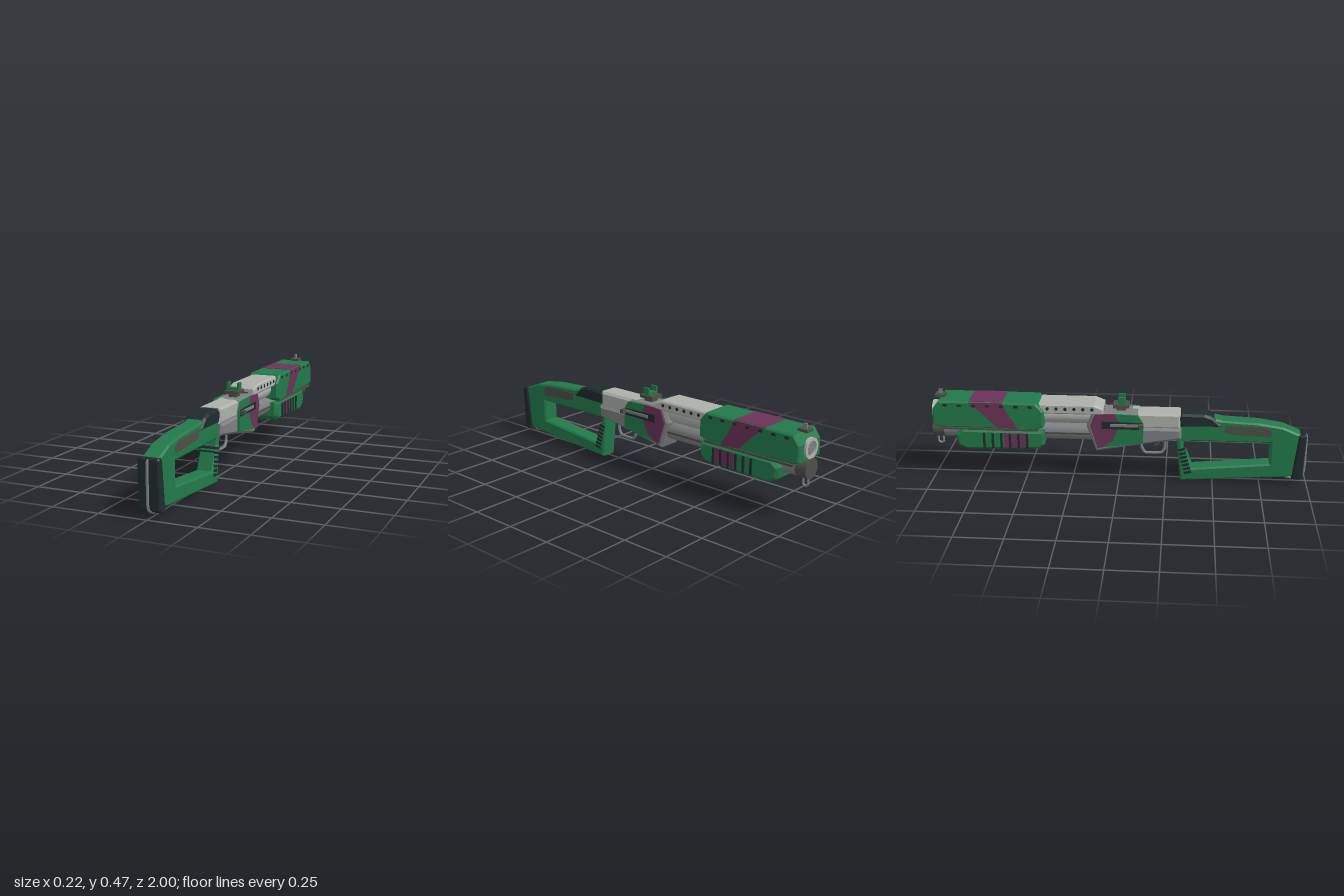
import * as THREE from 'three';

const mat = (name, color) => Object.assign(new THREE.MeshStandardMaterial({ color }), { name });

export function createModel() {
  const model = new THREE.Group();
  const green = mat('green', 0x22794a), purple = mat('purple', 0x6b3358);
  const light = mat('light grey', 0xadb0ab), grey = mat('grey', 0x7c8080);
  const black = mat('black', 0x202b2d), dark = mat('dark metal', 0x4d4f48);

  const add = (name, geo, m) => {
    const mesh = new THREE.Mesh(geo, m);
    mesh.name = name;
    model.add(mesh);
    return mesh;
  };
  const toPts = (a) => a.map(([z, y]) => new THREE.Vector2(z, y));

  // Side profile of [z, y] points, extruded across x with a chamfer inside the outline
  const profile = (name, pts, half, m, bevel = 0.01, hole = null, x = 0) => {
    const s = new THREE.Shape(toPts(pts));
    if (hole) s.holes.push(new THREE.Path(toPts(hole)));
    const depth = 2 * (half - bevel);
    const g = new THREE.ExtrudeGeometry(s, {
      depth, bevelEnabled: bevel > 0, bevelSize: bevel, bevelThickness: bevel, bevelOffset: -bevel, bevelSegments: 1,
    });
    g.translate(0, 0, -depth / 2).rotateY(-Math.PI / 2);
    return add(name, g, m).translateX(x);
  };
  // Thin plate on both flanks
  const plates = (name, pts, x, m, half = 0.003) => {
    for (const s of [1, -1]) profile(name, pts, half, m, 0, null, s * x);
  };
  // Box from its centre and size
  const box = (name, [x, y, z], [w, h, d], m, rx = 0) => {
    const b = add(name, new THREE.BoxGeometry(w, h, d), m);
    b.position.set(x, y, z);
    b.rotation.x = rx;
    return b;
  };
  // Cylinder lying along z
  const rod = (name, r, y, z0, z1, m, sides = 32) => {
    const g = new THREE.CylinderGeometry(r, r, Math.abs(z1 - z0), sides).rotateX(Math.PI / 2);
    add(name, g, m).position.set(0, y, (z0 + z1) / 2);
  };
  // Bent wire through [z, y] points
  const wire = (name, pts, r, m) => {
    const path = new THREE.CatmullRomCurve3(pts.map(([z, y]) => new THREE.Vector3(0, y, z)), false, 'catmullrom', 0.2);
    add(name, new THREE.TubeGeometry(path, 40, r, 8), m);
  };

  // Skeleton stock with its grip
  profile('stock', [[0.955, 0.28], [0.86, 0.32], [0.73, 0.34], [0.54, 0.35], [0.48, 0.365], [0.36, 0.365], [0.32, 0.31],
    [0.305, 0.23], [0.33, 0], [0.88, 0.035], [0.955, 0.05]], 0.047, green, 0.009,
    [[0.8, 0.23], [0.8, 0.11], [0.39, 0.073], [0.34, 0.2], [0.335, 0.23]]);
  profile('cheekPad', [[0.55, 0.315], [0.53, 0.335], [0.49, 0.37], [0.45, 0.383], [0.33, 0.383], [0.31, 0.365], [0.325, 0.31]],
    0.055, black, 0.012);
  profile('buttPad', [[0.985, 0.275], [0.975, 0.285], [0.945, 0.278], [0.925, 0.09], [0.92, 0.03], [0.96, 0.026], [0.978, 0.04]],
    0.055, black, 0.008);
  wire('rearSlingLoop', [[0.975, 0.268], [0.99, 0.265], [0.99, 0.06], [0.975, 0.035], [0.93, 0.016], [0.86, 0.028]], 0.007, grey);
  plates('stockInset', [[0.8, 0.265], [0.8, 0.3], [0.77, 0.32], [0.56, 0.325], [0.555, 0.285], [0.6, 0.275]], 0.046, dark);
  for (let i = 0; i < 7; i++) {
    const t = i / 6;
    box('gripRib', [0, 0.05 + 0.13 * t, 0.368 - 0.036 * t], [0.097, 0.013, 0.04 - 0.006 * t], black, -0.25);
  }

  // Receiver
  profile('receiver', [[0.33, 0.305], [0.13, 0.305], [0.1, 0.385], [-0.14, 0.385], [-0.17, 0.31], [-0.12, 0.167],
    [0.17, 0.22], [0.33, 0.245]], 0.07, grey, 0.012);
  profile('receiverTail', [[0.325, 0.3], [0.07, 0.3], [0.07, 0.385], [0.325, 0.385]], 0.06, light, 0.012);
  const sidePanel = [[0.13, 0.335], [0.1, 0.38], [-0.02, 0.384], [0.005, 0.33], [-0.03, 0.235], [-0.09, 0.195], [0.13, 0.225]];
  const sideBand = [[-0.02, 0.384], [-0.125, 0.38], [-0.15, 0.315], [-0.11, 0.19], [-0.09, 0.195], [-0.03, 0.235], [0.005, 0.33]];
  plates('receiverPanel', sidePanel, 0.074, green, 0.006);
  plates('receiverBand', sideBand, 0.074, purple, 0.006);
  plates('boltSlot', [[0.12, 0.303], [0.12, 0.34], [-0.09, 0.344], [-0.09, 0.303]], 0.081, black);
  for (const s of [1, -1]) {
    box('boltBar', [s * 0.085, 0.326, 0.03], [0.01, 0.015, 0.15], grey);
    box('boltHandle', [s * 0.097, 0.326, 0.12], [0.028, 0.022, 0.022], dark);
  }
  profile('receiverRamp', [[-0.08, 0.38], [-0.08, 0.395], [-0.13, 0.425], [-0.14, 0.38]], 0.045, dark, 0.003);

  // Trigger and guard
  wire('triggerGuard', [[0.245, 0.225], [0.243, 0.17], [0.225, 0.142], [0.14, 0.14], [0.12, 0.17], [0.118, 0.21]], 0.008, grey);
  wire('trigger', [[0.21, 0.235], [0.215, 0.21], [0.205, 0.19], [0.19, 0.182]], 0.006, dark);

  // Rear sight
  box('rearSightStem', [0, 0.395, 0.01], [0.045, 0.03, 0.05], dark);
  box('rearSightBase', [0, 0.412, 0.01], [0.077, 0.018, 0.085], dark);
  box('rearSightBridge', [0, 0.427, 0.013], [0.06, 0.014, 0.035], green);
  for (const s of [1, -1]) box('rearSightProng', [s * 0.03, 0.443, 0.013], [0.011, 0.037, 0.035], green);

  // Barrel, magazine tube and muzzle
  rod('barrel', 0.052, 0.355, -0.1, -0.98, light);
  rod('magazineTube', 0.05, 0.26, -0.1, -0.95, grey);
  rod('magazineCap', 0.052, 0.26, -0.94, -1, dark);
  for (const s of [1, -1]) box('actionBar', [s * 0.048, 0.258, -0.28], [0.012, 0.01, 0.3], dark);
  const ring = new THREE.Shape().absarc(0, 0, 0.052, 0, Math.PI * 2);
  ring.holes.push(new THREE.Path().absarc(0, 0, 0.037, 0, Math.PI * 2));
  add('muzzleRing', new THREE.ExtrudeGeometry(ring, { depth: 0.018, bevelEnabled: false, curveSegments: 24 }), light)
    .position.set(0, 0.36, -0.997);
  rod('muzzleBore', 0.038, 0.36, -0.97, -0.987, grey);
  wire('frontSlingLoop', [[-0.96, 0.215], [-0.957, 0.175], [-0.97, 0.165], [-0.985, 0.175], [-0.985, 0.215]], 0.006, grey);

  // Vented cover over the barrel
  profile('heatCover', [[-0.08, 0.375], [-0.08, 0.41], [-0.13, 0.43], [-0.42, 0.43], [-0.42, 0.375]], 0.075, light, 0.008);
  for (const s of [1, -1]) for (let i = 0; i < 6; i++) {
    const hole = add('coverHole', new THREE.CylinderGeometry(0.009, 0.009, 0.004, 12).rotateZ(Math.PI / 2), black);
    hole.position.set(s * 0.0745, 0.405, -0.14 - 0.047 * i);
  }

  // Upper fore-end shroud
  profile('shroud', [[-0.395, 0.39], [-0.435, 0.436], [-0.95, 0.438], [-0.985, 0.39], [-0.985, 0.305], [-0.95, 0.293],
    [-0.44, 0.285], [-0.395, 0.305]], 0.092, green, 0.008);
  box('shroudTopBand', [0, 0.4365, -0.7], [0.168, 0.005, 0.18], purple);
  plates('shroudSideBand', [[-0.61, 0.435], [-0.79, 0.435], [-0.73, 0.385], [-0.64, 0.295], [-0.53, 0.292], [-0.58, 0.37]],
    0.0905, purple);
  for (const s of [1, -1]) {
    for (let i = 0; i < 7; i++) box('shroudSlot', [s * 0.092, 0.417, -0.465 - 0.075 * i], [0.006, 0.013, 0.022], black);
    box('slideRail', [s * 0.085, 0.287, -0.69], [0.018, 0.011, 0.53], dark);
  }

  // Pump grip below
  profile('pump', [[-0.395, 0.278], [-0.83, 0.28], [-0.87, 0.25], [-0.86, 0.19], [-0.81, 0.163], [-0.425, 0.175],
    [-0.395, 0.2]], 0.087, green, 0.014);
  plates('pumpBand', [[-0.48, 0.265], [-0.61, 0.265], [-0.61, 0.183], [-0.48, 0.188]], 0.0855, purple);
  for (const s of [1, -1]) for (let i = 0; i < 6; i++)
    box('pumpRib', [s * 0.089, 0.222, -0.485 - 0.046 * i], [0.009, 0.084, 0.012], black);

  // Front sight
  box('frontSightBase', [0, 0.444, -0.955], [0.05, 0.014, 0.055], dark);
  box('frontSightPost', [0, 0.46, -0.955], [0.008, 0.03, 0.02], grey);

  return model;
}
